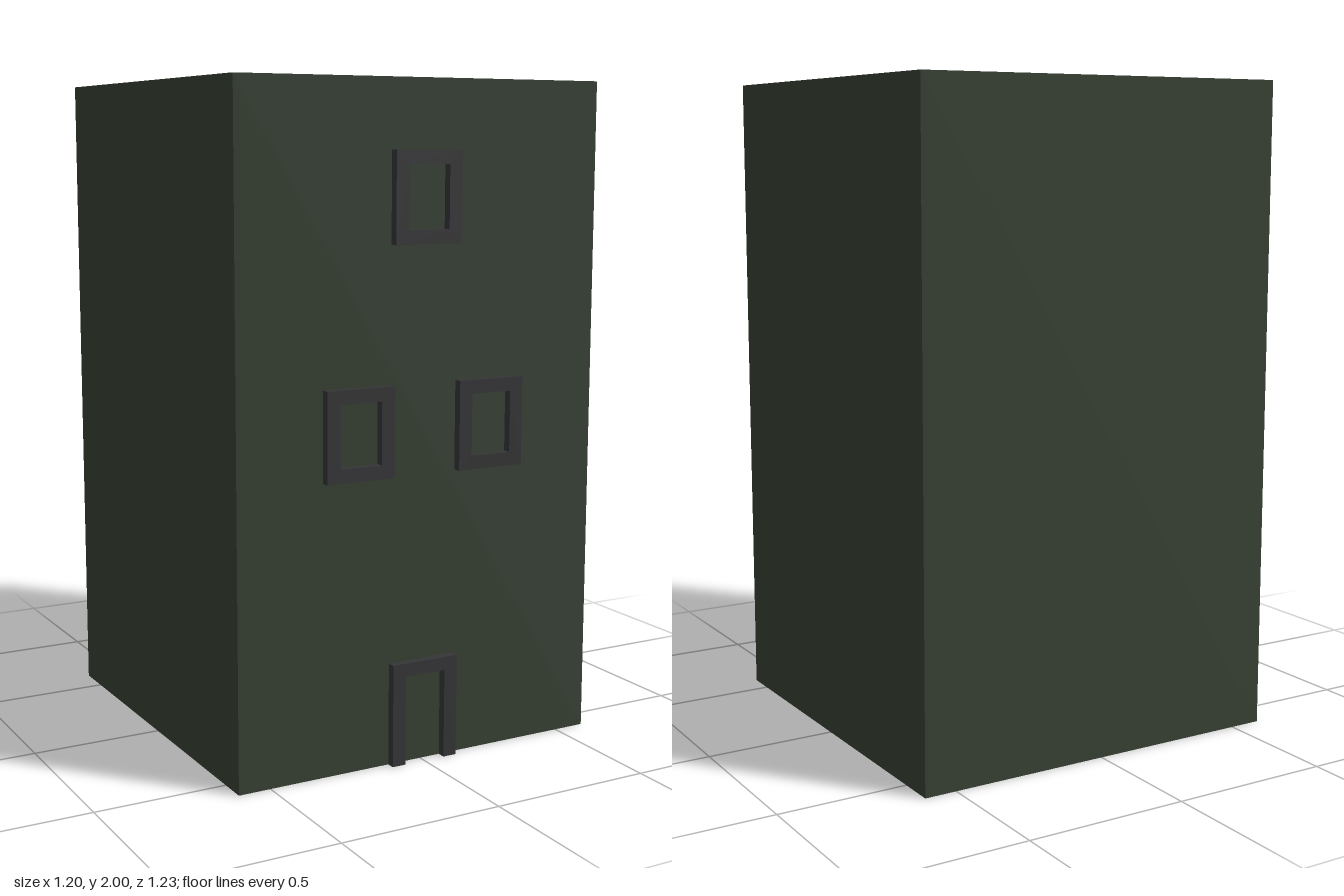
import * as THREE from 'three';

const HALF = 0.6, HEIGHT = 2;
const FRONT = 0.587, BACK = -0.613, FRAME_DEPTH = 0.026;

const wallMat = new THREE.MeshStandardMaterial({ color: 0x364033, flatShading: true, side: THREE.DoubleSide });
const frameMat = new THREE.MeshStandardMaterial({ color: 0x353436, flatShading: true });

// Square shell swept from a [half width, height] profile
function squareShell(name, profile) {
  const points = profile.map(([x, y]) => new THREE.Vector2(x * Math.SQRT2, y));
  const mesh = new THREE.Mesh(new THREE.LatheGeometry(points, 4, Math.PI / 4), wallMat);
  mesh.name = name;
  mesh.position.z = (FRONT + BACK) / 2;
  return mesh;
}

// Flat surround on the front wall, extruded forward from the wall face
function frame(name, shape, x, y) {
  const geometry = new THREE.ExtrudeGeometry(shape, { depth: FRAME_DEPTH, bevelEnabled: false });
  const mesh = new THREE.Mesh(geometry, frameMat);
  mesh.name = name;
  mesh.position.set(x, y, FRONT);
  return mesh;
}

const polygon = (pts) => pts.map(([x, y]) => new THREE.Vector2(x, y));
const rectangle = (w, h) => polygon([[-w, -h], [w, -h], [w, h], [-w, h]]);

export function createModel() {
  const model = new THREE.Group();
  model.name = 'towerHouse';

  // Outer walls and flat roof, open underneath
  model.add(squareShell('outerWalls', [[HALF, 0], [HALF, HEIGHT], [0, HEIGHT]]));

  // Ledge inside, with thicker walls above it
  model.add(squareShell('innerLedge', [[HALF, 0.67], [0.54, 0.67], [0.54, 1.94], [0, 1.94]]));

  // Window frames: one high, two in the middle
  const windowShape = new THREE.Shape(rectangle(0.11, 0.133));
  windowShape.holes.push(new THREE.Path(rectangle(0.067, 0.092)));
  model.add(frame('topWindowFrame', windowShape, 0, 1.667));
  model.add(frame('leftWindowFrame', windowShape, 0.22, 1.002));
  model.add(frame('rightWindowFrame', windowShape, -0.22, 1.002));

  // Door frame, open at the ground
  const doorShape = new THREE.Shape(polygon([
    [-0.11, 0], [-0.067, 0], [-0.067, 0.27], [0.067, 0.27],
    [0.067, 0], [0.11, 0], [0.11, 0.31], [-0.11, 0.31],
  ]));
  model.add(frame('doorFrame', doorShape, 0, 0));

  return model;
}
